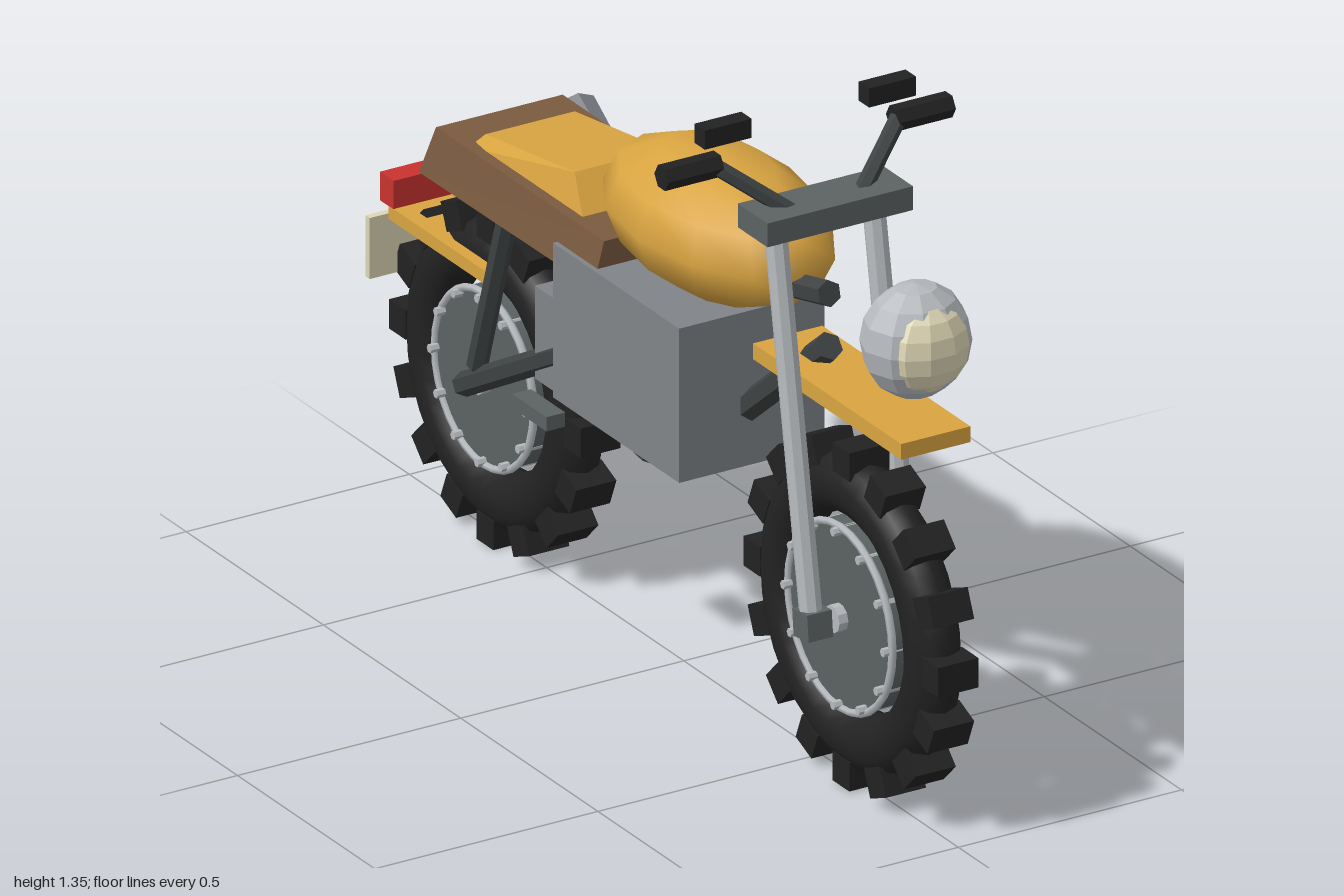
import * as THREE from 'three';

const mat = (name, color) => {
  const m = new THREE.MeshStandardMaterial({ color });
  m.name = name;
  return m;
};
const V = (x, y, z) => new THREE.Vector3(x, y, z);

// Faceted normals for low-poly parts
function faceted(geo) {
  const g = geo.toNonIndexed();
  g.computeVertexNormals();
  return g;
}

// Box whose top face has its own width and z range
function taperedBox(bottom, top) {
  const g = new THREE.BoxGeometry(1, 1, 1);
  const p = g.attributes.position;
  for (let i = 0; i < p.count; i++) {
    const s = p.getY(i) > 0 ? top : bottom;
    const front = p.getZ(i) > 0;
    p.setXYZ(i, Math.sign(p.getX(i)) * s.halfWidth, front ? s.yFront : s.yBack, front ? s.zFront : s.zBack);
  }
  return faceted(g);
}

export function createModel() {
  const orange = mat('orange paint', 0xd9a441);
  const brown = mat('brown leather', 0x7a5a40);
  const tyreBlack = mat('black rubber', 0x222222);
  const frameDark = mat('dark frame', 0x3e4242);
  const metal = mat('grey metal', 0x5c6363);
  const engineGrey = mat('engine grey', 0x808488);
  const chrome = mat('chrome', 0xb6babe);
  const cream = mat('cream', 0xddd5b5);
  const red = mat('red', 0xc8322f);

  const root = new THREE.Group();
  root.name = 'motorcycle';

  const add = (name, geo, material, parent = root) => {
    const m = new THREE.Mesh(geo, material);
    m.name = name;
    parent.add(m);
    return m;
  };
  const box = (name, size, pos, material, parent = root) => {
    const m = add(name, new THREE.BoxGeometry(...size), material, parent);
    m.position.set(...pos);
    return m;
  };
  // Faceted rod between two points, radius r0 at a and r1 at b
  const rod = (name, a, b, r0, r1, material, sides = 6, parent = root) => {
    const d = b.clone().sub(a);
    const m = add(name, faceted(new THREE.CylinderGeometry(r1, r0, d.length(), sides)), material, parent);
    m.position.copy(a).addScaledVector(d, 0.5);
    m.quaternion.setFromUnitVectors(V(0, 1, 0), d.normalize());
    return m;
  };

  // Wheels: tyre, tread blocks, disc, rim rings, bolts and hub
  function wheel(name, y, z, radius, discRadius) {
    const g = new THREE.Group();
    g.name = name;
    g.position.set(0, y, z);
    root.add(g);
    const tube = 0.062;
    const tyre = add('tyre', new THREE.TorusGeometry(radius - 0.032 - tube, tube, 10, 32), tyreBlack, g);
    tyre.rotation.y = Math.PI / 2;
    tyre.scale.z = 0.89;
    for (let i = 0; i < 16; i++) {
      const a = (i / 16) * Math.PI * 2;
      const r = radius - 0.03;
      const knob = box('treadBlock', [0.09, 0.06, 0.062], [0, Math.cos(a) * r, Math.sin(a) * r], tyreBlack, g);
      knob.rotation.x = a;
    }
    const disc = add('disc', new THREE.CylinderGeometry(discRadius, discRadius, 0.09, 28), metal, g);
    disc.rotation.z = Math.PI / 2;
    for (const s of [-1, 1]) {
      const ring = add('rimRing', new THREE.TorusGeometry(discRadius, 0.008, 6, 32), chrome, g);
      ring.rotation.y = Math.PI / 2;
      ring.position.x = s * 0.046;
    }
    for (let i = 0; i < 12; i++) {
      const a = (i / 12) * Math.PI * 2;
      const cy = Math.cos(a) * (discRadius - 0.008);
      const cz = Math.sin(a) * (discRadius - 0.008);
      rod('rimBolt', V(-0.064, cy, cz), V(0.064, cy, cz), 0.009, 0.009, chrome, 6, g);
    }
    rod('hub', V(-0.065, 0, 0), V(0.065, 0, 0), 0.028, 0.028, chrome, 10, g);
  }
  wheel('frontWheel', 0.357, 0.645, 0.355, 0.19);
  wheel('rearWheel', 0.349, -0.652, 0.348, 0.18);

  // Fork, handlebars, pegs and rear suspension on both sides
  for (const s of [-1, 1]) {
    rod('forkTube', V(s * 0.11, 0.36, 0.645), V(s * 0.11, 1.15, 0.51), 0.023, 0.023, chrome, 8);
    const foot = box('forkFoot', [0.055, 0.055, 0.055], [s * 0.108, 0.36, 0.645], metal);
    foot.rotation.x = -0.1;
    rod('handlebar', V(s * 0.075, 1.165, 0.52), V(s * 0.21, 1.268, 0.443), 0.017, 0.017, frameDark);
    rod('grip', V(s * 0.197, 1.266, 0.442), V(s * 0.322, 1.266, 0.442), 0.026, 0.026, tyreBlack);
    box('mirror', [0.105, 0.04, 0.038], [s * 0.184, 1.332, 0.442], tyreBlack);
    box('footPeg', [0.042, 0.03, 0.125], [s * 0.239, 0.53, -0.14], metal);
    rod('swingArm', V(s * 0.085, 0.56, -0.28), V(s * 0.085, 0.342, -0.665), 0.025, 0.025, frameDark);
    rod('shock', V(s * 0.085, 0.8, -0.49), V(s * 0.085, 0.4, -0.615), 0.021, 0.021, frameDark);
    rod('lowerRail', V(s * 0.07, 0.455, 0), V(s * 0.07, 0.51, -0.36), 0.025, 0.025, frameDark);
  }
  box('forkClamp', [0.326, 0.05, 0.108], [0, 1.157, 0.516], metal);

  // Frame tubes
  rod('backbone', V(0, 0.98, 0.53), V(0, 0.765, -0.33), 0.027, 0.027, frameDark);
  rod('downTube', V(0, 0.87, 0.53), V(0, 0.6, 0.2), 0.029, 0.029, frameDark);

  // Headlight and lens
  const lamp = add('headlight', faceted(new THREE.SphereGeometry(1, 10, 8)), chrome);
  lamp.scale.set(0.113, 0.118, 0.098);
  lamp.position.set(0, 1.008, 0.845);
  const lens = add('headlightLens', faceted(new THREE.SphereGeometry(1, 10, 8)), cream);
  lens.scale.set(0.09, 0.092, 0.062);
  lens.position.set(0, 1.008, 0.887);

  // Fuel tank
  const tank = add('fuelTank', new THREE.SphereGeometry(1, 12, 6), orange);
  tank.scale.set(0.182, 0.141, 0.318);
  tank.position.set(0, 0.98, 0.128);

  // Seat, seat pad and the support below it
  add('seat', taperedBox(
    { halfWidth: 0.16, yFront: 0.795, yBack: 0.79, zFront: -0.07, zBack: -0.705 },
    { halfWidth: 0.142, yFront: 0.893, yBack: 0.893, zFront: -0.06, zBack: -0.672 }), brown);
  add('seatPad', taperedBox(
    { halfWidth: 0.122, yFront: 0.88, yBack: 0.88, zFront: -0.165, zBack: -0.585 },
    { halfWidth: 0.1, yFront: 0.96, yBack: 0.912, zFront: -0.235, zBack: -0.56 }), orange);
  const support = box('seatSupport', [0.16, 0.06, 0.09], [0, 0.785, -0.545], orange);
  support.rotation.x = -0.25;

  // Engine and gearbox
  box('engine', [0.326, 0.324, 0.46], [0, 0.673, 0.018], engineGrey);
  box('gearbox', [0.2, 0.195, 0.22], [0, 0.567, -0.27], engineGrey);

  // Exhaust on the left side
  rod('exhaustPipe', V(0.175, 0.48, 0.21), V(0.205, 0.68, -0.52), 0.036, 0.034, engineGrey);
  rod('muffler', V(0.203, 0.662, -0.46), V(0.218, 0.8, -0.765), 0.038, 0.055, engineGrey, 8);

  // Fenders, tail light and plate
  box('frontFender', [0.155, 0.033, 0.54], [0, 0.818, 0.648], orange);
  box('rearFender', [0.155, 0.028, 0.375], [0, 0.59, -0.763], orange);
  box('tailLight', [0.155, 0.06, 0.05], [0, 0.633, -0.956], red);
  box('plate', [0.215, 0.128, 0.015], [0, 0.513, -0.977], cream);

  return root;
}
